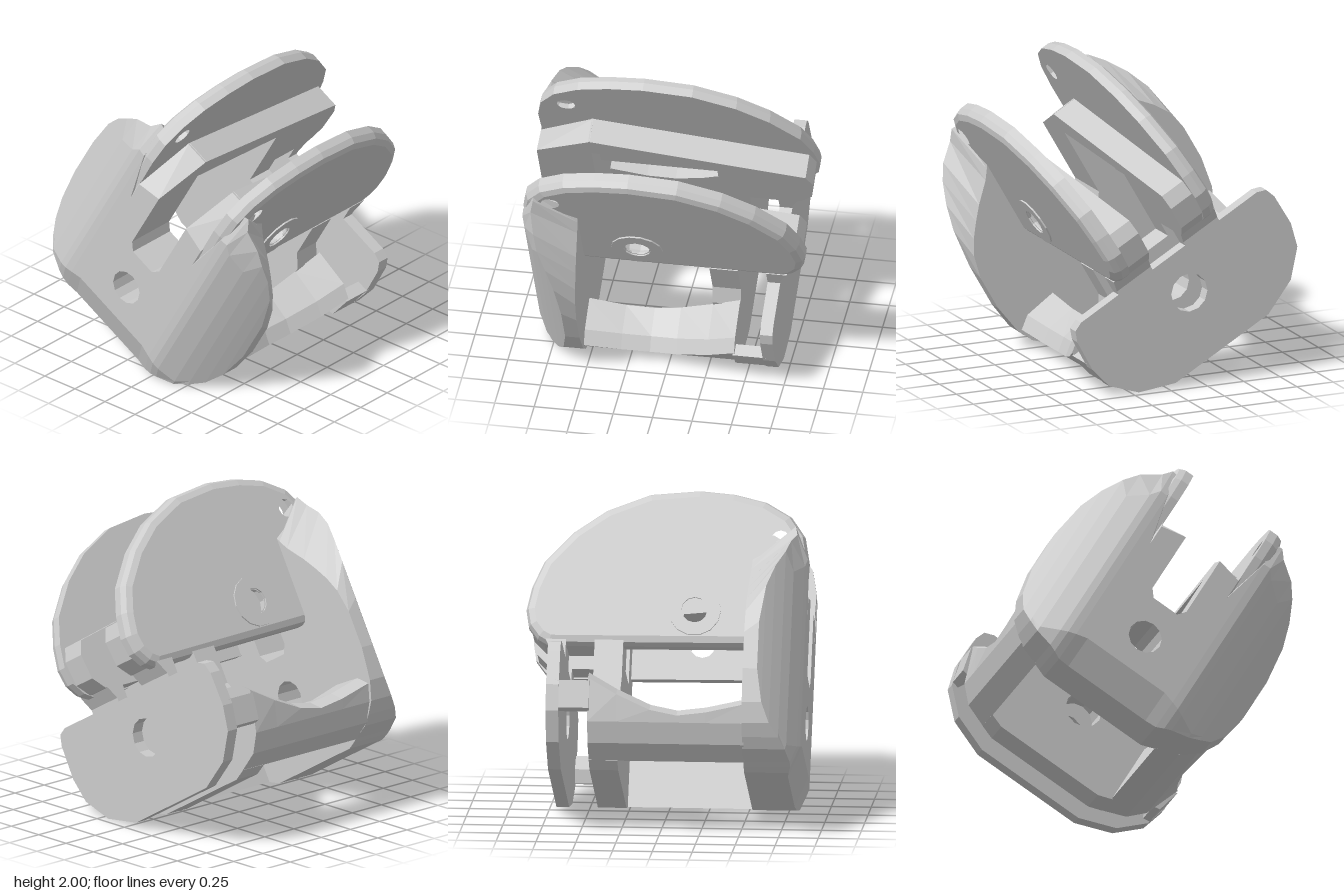
import * as THREE from 'three';

const mat = new THREE.MeshStandardMaterial({ color: 0xcccccc, flatShading: true, side: THREE.DoubleSide });

function mesh(name, geometry) {
  const m = new THREE.Mesh(geometry, mat);
  m.name = name;
  return m;
}

function shapeOf(points, holes = []) {
  const s = new THREE.Shape(points.map(([x, y]) => new THREE.Vector2(x, y)));
  for (const [x, y, r] of holes) s.holes.push(new THREE.Path().absarc(x, y, r, 0, Math.PI * 2, true));
  return s;
}

// Plate with an x-y outline, running from z0 to z1
function plate(points, z0, z1, holes) {
  return new THREE.ExtrudeGeometry(shapeOf(points, holes), { depth: z1 - z0, bevelEnabled: false, curveSegments: 6 })
    .translate(0, 0, z0);
}

// Plate with a z-y outline, running from x0 to x1; only its outer rim is softened
function sidePlate(points, x0, x1, holes = [], bevel = 0) {
  const flip = points.map(([z, y]) => [-z, y]);
  const g = new THREE.ExtrudeGeometry(shapeOf(flip, holes.map(([z, y, r]) => [-z, y, r + bevel])), {
    depth: x1 - x0 - bevel, bevelEnabled: bevel > 0, bevelThickness: bevel,
    bevelSize: bevel, bevelOffset: -bevel, bevelSegments: 2, curveSegments: 6,
  }).rotateY(Math.PI / 2).translate(x0, 0, 0);
  const p = g.attributes.position;
  for (let i = 0; i < p.count; i++) p.setX(i, Math.max(x0, p.getX(i)));
  g.computeVertexNormals();
  return g;
}

function bufferFrom(pos, idx) {
  const g = new THREE.BufferGeometry();
  g.setAttribute('position', new THREE.Float32BufferAttribute(pos, 3));
  g.setIndex(idx);
  const flat = g.toNonIndexed();
  flat.computeVertexNormals();
  return flat;
}

const mirrored = (pts) => [...pts, ...pts.map(([x, y]) => [-x, y]).reverse()];

// Upper edge of the chamfer along the foot of the front wall
const chamfer = (x) => 0.2 - 0.33 * Math.max(0, x - 0.3);

// Front face depth: falls away towards the sides, the bottom and the top
function frontZ(x, y) {
  const side = 0.25 * Math.pow(Math.max(0, (x - 0.4) / 0.4), 1.5);
  const bottom = 0.4 * Math.max(0, chamfer(x) - y);
  const top = 0.4 * Math.max(0, y - 1.4);
  return 0.88 - side - bottom - top;
}

// One half of the bulged front wall, lofted in columns of [x, bottom, front top, back top]
function frontHalf() {
  const cols = [[0.13, 0, 1.22, 1.4], [0.295, 0, 1.18, 1.4], [0.37, 0, 1.6, 1.45], [0.42, 0.02, 1.61, 1.37],
    [0.465, 0.04, 1.54, 1.31], [0.58, 0.085, 1.46, 1.2], [0.65, 0.14, 1.37, 1.12], [0.72, 0.21, 1.25, 1.03],
    [0.775, 0.33, 1.1, 0.93], [0.81, 0.54, 0.85, 0.78]];
  const ts = [-1, 0, 0.3, 0.6, 0.85, 1];
  const pos = [], idx = [], n = ts.length;
  for (const back of [false, true]) {
    for (const [x, lo, hi, hiBack] of cols) {
      const start = Math.max(chamfer(x), lo + 0.03);
      for (const t of ts) {
        const y = t < 0 ? lo : start + ((back ? hiBack : hi) - start) * t;
        pos.push(x, y, back ? 0.53 : frontZ(x, y));
      }
    }
  }
  const N = cols.length * n;
  const quad = (a, b, c, d) => idx.push(a, b, c, a, c, d);
  for (let i = 0; i < cols.length - 1; i++) {
    const p = i * n, q = p + n;
    for (let j = 0; j < n - 1; j++) {
      quad(p + j, q + j, q + j + 1, p + j + 1);
      quad(N + p + j, N + p + j + 1, N + q + j + 1, N + q + j);
    }
    quad(p, N + p, N + q, q);
    quad(p + n - 1, q + n - 1, N + q + n - 1, N + p + n - 1);
  }
  const e = (cols.length - 1) * n;
  for (let j = 0; j < n - 1; j++) {
    quad(j, j + 1, N + j + 1, N + j);
    quad(e + j, N + e + j, N + e + j + 1, e + j + 1);
  }
  return bufferFrom(pos, idx);
}

// Lower side rail: flat inner wall, rounded underside, and a top that dips in the middle.
// Stations are [z, inner top, outer x, outer top]
function lowerRail() {
  const stations = [[-0.44, 0.56, 0.785, 0.47], [-0.26, 0.47, 0.765, 0.37], [-0.05, 0.38, 0.735, 0.28],
    [0.12, 0.34, 0.72, 0.25], [0.3, 0.345, 0.73, 0.27], [0.54, 0.4, 0.75, 0.32]];
  const pos = [], idx = [], n = 6;
  for (const [z, inTop, outX, outTop] of stations) {
    const section = [[0.456, 0.035], [0.605, 0.1], [0.7, 0.21], [outX, outTop], [outX - 0.08, outTop + 0.06], [0.456, inTop]];
    for (const [x, y] of section) pos.push(x, y, z);
  }
  for (let i = 0; i < stations.length - 1; i++) {
    for (let j = 0; j < n; j++) {
      const a = i * n + j, b = i * n + (j + 1) % n;
      idx.push(a, b, b + n, a, b + n, a + n);
    }
  }
  const last = (stations.length - 1) * n;
  for (let j = 1; j < n - 1; j++) idx.push(0, j + 1, j, last, last + j, last + j + 1);
  return bufferFrom(pos, idx);
}

function buildHalf() {
  const half = new THREE.Group();
  half.add(mesh('frontWallHalf', frontHalf()));

  // Tall rounded side plate with pivot and screw holes
  const fin = [[0.6, 0.83], [0.86, 0.83], [0.88, 1.4], [0.85, 1.56], [0.76, 1.69], [0.6, 1.785], [0.4, 1.835],
    [0.18, 1.855], [-0.13, 1.825], [-0.4, 1.715], [-0.6, 1.57], [-0.78, 1.37], [-0.85, 1.2],
    [-0.88, 1.05], [-0.86, 0.94], [-0.8, 0.86], [-0.73, 0.82], [-0.62, 0.82]];
  half.add(mesh('sidePlate', sidePlate(fin, 0.295, 0.405, [[0.18, 1.05, 0.08], [0.69, 1.565, 0.06]], 0.055)));
  half.add(mesh('rearNeck', sidePlate([[-0.62, 0.66], [-0.62, 0.85], [-0.75, 0.85], [-0.7, 0.76], [-0.7, 0.66]], 0.13, 0.4)));

  // Raised ring round the pivot hole
  half.add(mesh('pivotRing', sidePlate(
    Array.from({ length: 14 }, (_, i) => {
      const a = (i / 14) * Math.PI * 2;
      return [0.18 + 0.165 * Math.cos(a), 1.05 + 0.165 * Math.sin(a)];
    }), 0.39, 0.415, [[0.18, 1.05, 0.085]])));

  // Sloping inner rail that drops to the rear
  half.add(mesh('innerRail', sidePlate(
    [[0.54, 1.4], [-0.82, 1.17], [-0.86, 1.08], [-0.84, 0.92], [-0.76, 0.84], [-0.62, 0.83],
      [-0.26, 0.83], [-0.26, 1.17], [0.54, 1.25]], 0.13, 0.31)));

  // Lower rail, and the narrow arm carrying the rear wall
  half.add(mesh('lowerRail', lowerRail()));
  half.add(mesh('rearArm', plate(
    [[0.71, 0.27], [0.755, 0.28], [0.79, 0.45], [0.71, 0.45], [0.67, 0.35]], -0.64, -0.43)));
  return half;
}

export function createModel() {
  const model = new THREE.Group();
  model.name = 'tiltedMount';
  const body = new THREE.Group();
  body.name = 'body';

  const left = buildHalf();
  left.name = 'leftHalf';
  const right = buildHalf();
  right.name = 'rightHalf';
  right.scale.x = -1;
  body.add(left, right);

  // Middle of the front wall below the slot, with its hole and chamfered foot
  body.add(mesh('frontWallMiddle', plate(
    [[-0.13, 0.2], [0.13, 0.2], [0.13, 0.775], [0.09, 0.72], [-0.09, 0.72], [-0.13, 0.775]],
    0.53, 0.88, [[0, 0.453, 0.11]])));
  body.add(mesh('frontFoot', sidePlate([[0.53, 0], [0.8, 0], [0.88, 0.2], [0.53, 0.2]], -0.13, 0.13)));

  // Cross wall closing the cavity
  body.add(mesh('crossWall', plate(
    mirrored([[0.37, 0], [0.46, 0.035], [0.46, 0.5], [0.4, 0.6], [0.4, 0.85], [0.13, 0.85], [0.13, 0.73]]),
    -0.44, -0.26, [[0, 0.453, 0.12]])));

  // Rear wall with rounded corners
  body.add(mesh('rearWall', plate(
    mirrored([[0.37, 0], [0.605, 0.1], [0.75, 0.26], [0.79, 0.42], [0.785, 0.64], [0.76, 0.71], [0.7, 0.735], [0.13, 0.735]]),
    -0.7, -0.62, [[0, 0.453, 0.125]])));

  // The whole mount leans by thirty degrees
  body.rotation.z = -Math.PI / 6;
  body.position.set(-0.374, 0.216, 0);
  model.add(body);
  return model;
}
